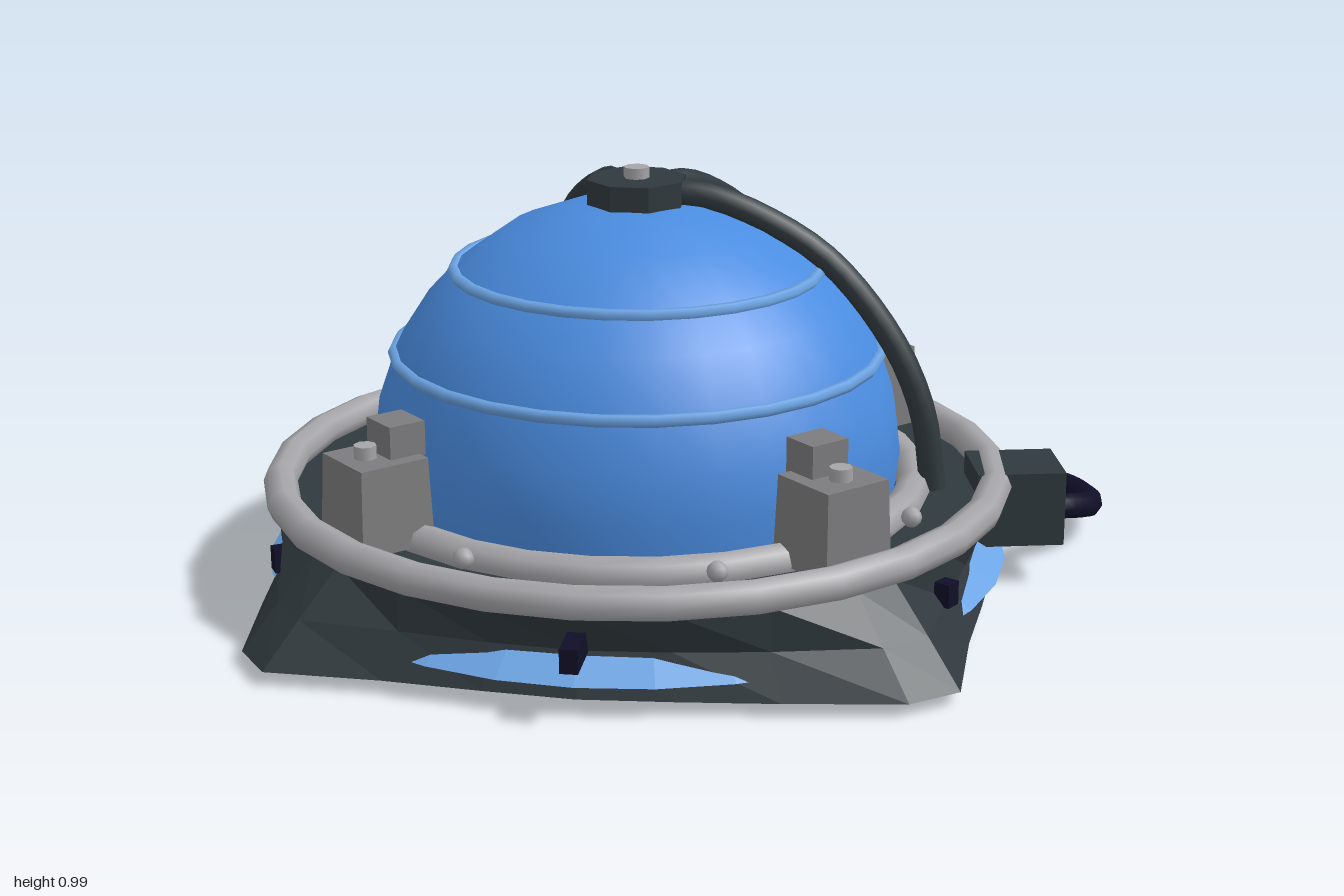
import * as THREE from 'three';

const mat = (name, color, side = THREE.FrontSide) => {
  const m = new THREE.MeshStandardMaterial({ color, side });
  m.name = name;
  return m;
};

export function createModel() {
  const blue = mat('dome blue', 0x4a8ce0);
  const lightBlue = mat('glow blue', 0x6ca4e4, THREE.DoubleSide);
  const dark = mat('dark metal', 0x30393e);
  const navy = mat('navy rubber', 0x110f28);
  const silver = mat('light metal', 0xa5a5a9);
  const steel = mat('clamp metal', 0x7c7c7e);

  const model = new THREE.Group();
  const body = new THREE.Group();
  body.name = 'device';
  body.position.x = -0.11;
  model.add(body);

  const add = (name, geo, material, x = 0, y = 0, z = 0, parent = body) => {
    const m = new THREE.Mesh(geo, material);
    m.name = name;
    m.position.set(x, y, z);
    parent.add(m);
    return m;
  };
  const ring = (name, r, tube, y, material, sides = 8, segs = 28) => {
    add(name, new THREE.TorusGeometry(r, tube, sides, segs), material, 0, y, 0).rotation.x = Math.PI / 2;
  };
  const flat = (geo) => {
    const g = geo.toNonIndexed();
    g.computeVertexNormals();
    return g;
  };
  const lathe = (points, segs) => new THREE.LatheGeometry(points.map((p) => new THREE.Vector2(...p)), segs);

  // Base: bulging square outline lofted into a round rim
  const angles = [0, 14, 28, 41, 48, 62, 76];
  const footRadii = [0.85, 0.86, 0.92, 1.065, 1.045, 0.92, 0.86];
  const levels = [
    [0.03, () => 0],
    [0.03, (r) => r],
    [0.125, (r) => 0.19 + 0.73 * r],
    [0.225, () => 0.86],
    [0.225, () => 0],
  ];
  const n = 28;
  const pos = [];
  const idx = [];
  levels.forEach(([y, radius], l) => {
    for (let i = 0; i < n; i++) {
      const t = THREE.MathUtils.degToRad(Math.floor(i / 7) * 90 + angles[i % 7]);
      const r = radius(footRadii[i % 7]);
      pos.push(Math.cos(t) * r, y, Math.sin(t) * r);
      const a = l * n + i, b = l * n + (i + 1) % n;
      if (l < levels.length - 2) idx.push(a, a + n, b + n);
      if (l > 0 && l < levels.length - 1) idx.push(a, b + n, b);
    }
  });
  const baseGeo = new THREE.BufferGeometry();
  baseGeo.setAttribute('position', new THREE.Float32BufferAttribute(pos, 3));
  baseGeo.setIndex(idx);
  add('base', flat(baseGeo), dark);

  // Glowing skirt that shows through the middle of each base side
  add('glowSkirt', flat(lathe([[0.74, 0.06], [0.88, 0.07], [0.78, 0.14]], 32)), lightBlue);

  // Glowing strips under the middle of each base edge
  for (let i = 0; i < 4; i++) {
    const a = i * Math.PI / 2;
    const strip = add('underGlow', new THREE.BoxGeometry(0.34, 0.006, 0.06), lightBlue,
      Math.sin(a) * 0.79, 0.028, Math.cos(a) * 0.79);
    strip.rotation.y = a;
  }

  // Dome and its light bands
  const profile = [[0.61, 0.2], [0.625, 0.33], [0.61, 0.45], [0.565, 0.58], [0.5, 0.68], [0.42, 0.765],
    [0.3, 0.85], [0.15, 0.905], [0, 0.92]];
  add('dome', lathe(profile, 28), blue);
  ring('lowerBand', 0.572, 0.015, 0.56, lightBlue, 6);
  ring('upperBand', 0.428, 0.015, 0.755, lightBlue, 6);

  // Rim rings
  ring('outerRim', 0.85, 0.04, 0.25, silver);
  ring('innerRim', 0.66, 0.042, 0.24, silver);

  // Rim bolts
  for (let i = 0; i < 8; i++) {
    const a = (i + 0.5) * Math.PI / 4;
    add('rimBolt', new THREE.SphereGeometry(0.024, 8, 6), silver, Math.cos(a) * 0.725, 0.265, Math.sin(a) * 0.725);
  }

  // Clamps on the diagonals, with tapered blocks and a bolt
  for (let i = 0; i < 4; i++) {
    const clamp = new THREE.Group();
    clamp.name = 'clamp';
    clamp.rotation.y = Math.PI / 4 + i * Math.PI / 2;
    body.add(clamp);
    const block = flat(new THREE.CylinderGeometry(0.12, 0.13, 0.2, 4, 1).rotateY(Math.PI / 4));
    add('clampBlock', block, steel, 0.72, 0.335, 0, clamp);
    add('clampJaw', new THREE.BoxGeometry(0.09, 0.08, 0.1), steel, 0.665, 0.47, 0, clamp);
    add('clampBolt', new THREE.CylinderGeometry(0.026, 0.026, 0.04, 8), silver, 0.745, 0.445, 0, clamp);
  }

  // Side ports every sixty degrees, sunk deeper near the corners
  for (let i = 0; i < 6; i++) {
    const a = i * Math.PI / 3;
    const r = i % 3 === 0 ? 0.855 : 0.82;
    const port = add('sidePort', new THREE.BoxGeometry(0.04, 0.055, 0.15), navy, Math.sin(a) * r, 0.15, Math.cos(a) * r);
    port.rotation.y = a;
  }

  // Feet
  for (const x of [-0.5, 0.5]) {
    for (const z of [-0.49, 0.49]) {
      add('foot', flat(new THREE.CylinderGeometry(0.15, 0.14, 0.035, 8)), navy, x, 0.032, z);
    }
  }

  // Top hub and pin
  add('hub', flat(new THREE.CylinderGeometry(0.118, 0.118, 0.085, 8).rotateY(Math.PI / 8)), dark, 0, 0.925, 0);
  add('hubPin', new THREE.CylinderGeometry(0.03, 0.03, 0.03, 8), silver, 0, 0.978, 0);

  // Three curved arms from hub to rim
  const armPoints = [[0.06, 0.935], [0.17, 0.928], [0.3, 0.88], [0.45, 0.785], [0.6, 0.6], [0.675, 0.43], [0.705, 0.24]];
  const armPath = new THREE.CatmullRomCurve3(armPoints.map(([r, y]) => new THREE.Vector3(r, y, 0)));
  for (const deg of [0, 60, 120]) {
    add('arm', new THREE.TubeGeometry(armPath, 20, 0.031, 8), dark).rotation.y = THREE.MathUtils.degToRad(deg);
  }

  // Connector box and cable
  const box = add('connectorBox', new THREE.BoxGeometry(0.21, 0.18, 0.18), dark, 0.785, 0.19, -0.095, model);
  box.rotation.y = 0.22;
  const cable = new THREE.CatmullRomCurve3([
    [0.82, 0.14, -0.13], [0.9, 0.135, -0.2], [0.965, 0.1, -0.32], [0.965, 0.07, -0.46],
    [0.92, 0.05, -0.59], [0.81, 0.04, -0.7], [0.62, 0.032, -0.76],
  ].map((p) => new THREE.Vector3(...p)));
  add('cable', new THREE.TubeGeometry(cable, 28, 0.032, 8), navy, 0, 0, 0, model);
  const end = add('cableEnd', new THREE.SphereGeometry(0.032, 8, 6), navy, 0.62, 0.032, -0.76, model);
  end.scale.x = 0.4;

  return model;
}
